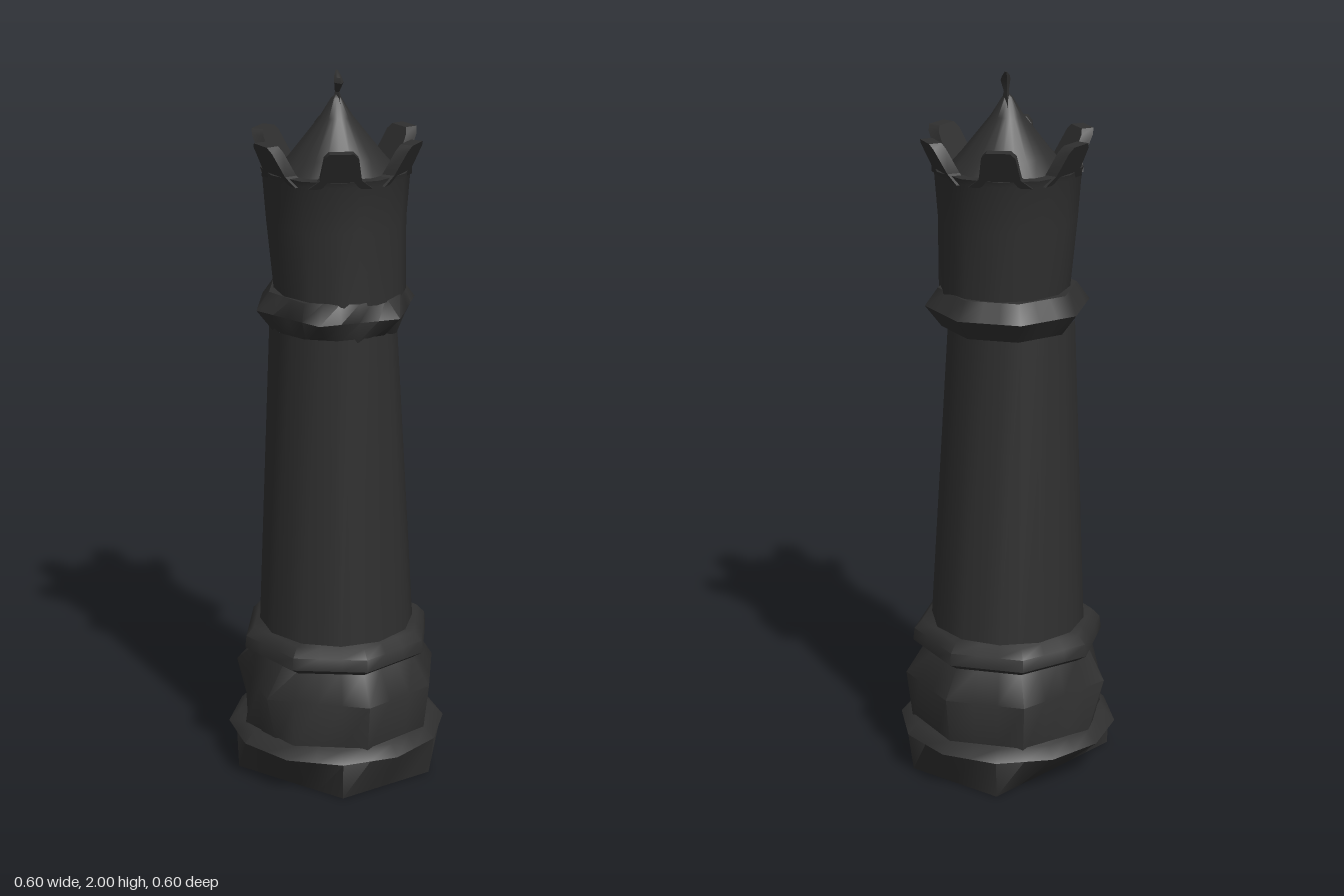
import * as THREE from 'three';
import { toCreasedNormals } from 'three/addons/utils/BufferGeometryUtils.js';

const STEPS = 24;
const regular = (n, phase = 0) => Array.from({ length: n }, (_, i) => phase + (360 / n) * i);

// Radius factor of a polygon with corners on the unit circle at the given degrees
function polygonRadius(corners, deg) {
  const list = corners.map((c) => ((c % 360) + 360) % 360).sort((a, b) => a - b);
  for (let i = 0; i < list.length; i++) {
    const start = list[i];
    const span = (list[(i + 1) % list.length] - start + 360) % 360;
    const offset = (deg - start + 360) % 360;
    if (offset < span) {
      const half = THREE.MathUtils.degToRad(span / 2);
      return Math.cos(half) / Math.cos(THREE.MathUtils.degToRad(offset) - half);
    }
  }
  return 1;
}

// Skin through rings, bottom to top: [y, radius, corner angles, centre x, centre z]
function loft(rings) {
  const positions = [];
  const index = [];
  for (const [y, r, corners, cx = 0, cz = 0] of rings) {
    for (let j = 0; j < STEPS; j++) {
      const deg = (j * 360) / STEPS;
      const a = THREE.MathUtils.degToRad(deg);
      const d = r * polygonRadius(corners, deg);
      positions.push(cx + d * Math.cos(a), y, cz + d * Math.sin(a));
    }
  }
  for (let i = 0; i < rings.length - 1; i++) {
    for (let j = 0; j < STEPS; j++) {
      const a = i * STEPS + j;
      const b = i * STEPS + ((j + 1) % STEPS);
      if (rings[i][1] > 0) index.push(a, a + STEPS, b);
      if (rings[i + 1][1] > 0) index.push(b, a + STEPS, b + STEPS);
    }
  }
  const geometry = new THREE.BufferGeometry();
  geometry.setAttribute('position', new THREE.Float32BufferAttribute(positions, 3));
  geometry.setIndex(index);
  return toCreasedNormals(geometry, 0.9);
}

// Chamfered crown tooth, leaning outwards as it rises
function toothGeometry() {
  const half = [[0.085, 0], [0.055, 0.025], [0.045, 0.09], [0.032, 0.105]];
  const points = [...half, ...half.map(([x, y]) => [-x, y]).reverse()];
  const shape = new THREE.Shape(points.map(([x, y]) => new THREE.Vector2(x, y)));
  const geometry = new THREE.ExtrudeGeometry(shape, { depth: 0.035, bevelEnabled: false });
  const p = geometry.attributes.position;
  for (let i = 0; i < p.count; i++) p.setZ(i, p.getZ(i) + 0.15 + 0.52 * p.getY(i));
  return toCreasedNormals(geometry, 0.6);
}

export function createModel() {
  const model = new THREE.Group();
  model.name = 'chessPiece';
  const black = new THREE.MeshStandardMaterial({ color: 0x2f2f2f });
  black.name = 'matte black';

  function add(name, geometry, parent = model) {
    const mesh = new THREE.Mesh(geometry, black);
    mesh.name = name;
    parent.add(mesh);
    return mesh;
  }

  const twelve = regular(12, 15);
  const eight = regular(8);
  const bottom = [45, 105, 180, 285, 345];
  const bulge = [0, 45, 90, 150, 210, 270, 315];
  const collar = [0, 60, 120, 180, 225, 270, 315];

  // Plinth with an uneven underside
  add('plinth', loft([
    [0, 0, bottom], [0, 0.295, bottom], [0.11, 0.31, twelve],
    [0.14, 0.28, twelve], [0.14, 0, twelve],
  ]));

  // Bulging foot above the plinth
  add('foot', loft([
    [0.12, 0.275, eight], [0.27, 0.293, bulge], [0.355, 0.24, eight], [0.355, 0, eight],
  ]));

  // Narrow ring at the top of the foot
  add('footRing', loft([
    [0.345, 0, eight], [0.345, 0.235, eight], [0.37, 0.272, eight],
    [0.405, 0.268, eight], [0.43, 0.245, eight], [0.43, 0, eight],
  ]));

  // Tapered shaft
  add('shaft', loft([
    [0.42, 0.218, twelve], [1.31, 0.175, twelve, -0.013, 0.012],
  ]));

  // Faceted collar
  add('collar', loft([
    [1.3, 0, eight], [1.3, 0.182, eight], [1.36, 0.228, collar],
    [1.41, 0.192, eight], [1.41, 0, eight],
  ]));

  // Flared head with an open rim
  add('head', loft([
    [1.4, 0.18, twelve, 0.008, 0.008], [1.6, 0.19, twelve], [1.73, 0.2, twelve],
    [1.745, 0.205, twelve], [1.745, 0.172, twelve], [1.7, 0.165, twelve],
  ]));

  // Six crown teeth
  const crown = new THREE.Group();
  crown.name = 'crown';
  const tooth = toothGeometry();
  for (const deg of regular(6, -15)) {
    const mesh = add('crownTooth', tooth, crown);
    mesh.position.y = 1.725;
    mesh.rotation.y = Math.PI / 2 - THREE.MathUtils.degToRad(deg);
  }
  model.add(crown);

  // Pointed dome inside the crown
  add('dome', loft([
    [1.715, 0.182, twelve], [1.78, 0.125, twelve], [1.88, 0.045, twelve],
    [1.93, 0.014, twelve], [1.94, 0, twelve],
  ]));

  // Small bent tip
  const tipSides = regular(4);
  const tip = add('tip', loft([
    [1.9, 0.03, tipSides], [1.945, 0.012, tipSides, 0, -0.004],
    [1.972, 0.024, tipSides, 0, 0.01], [1.985, 0.02, tipSides, 0, 0],
    [2, 0.006, tipSides, 0.006, -0.018], [2, 0, tipSides, 0.006, -0.018],
  ]));
  tip.scale.x = 0.55;
  tip.position.x = 0.004;

  return model;
}
